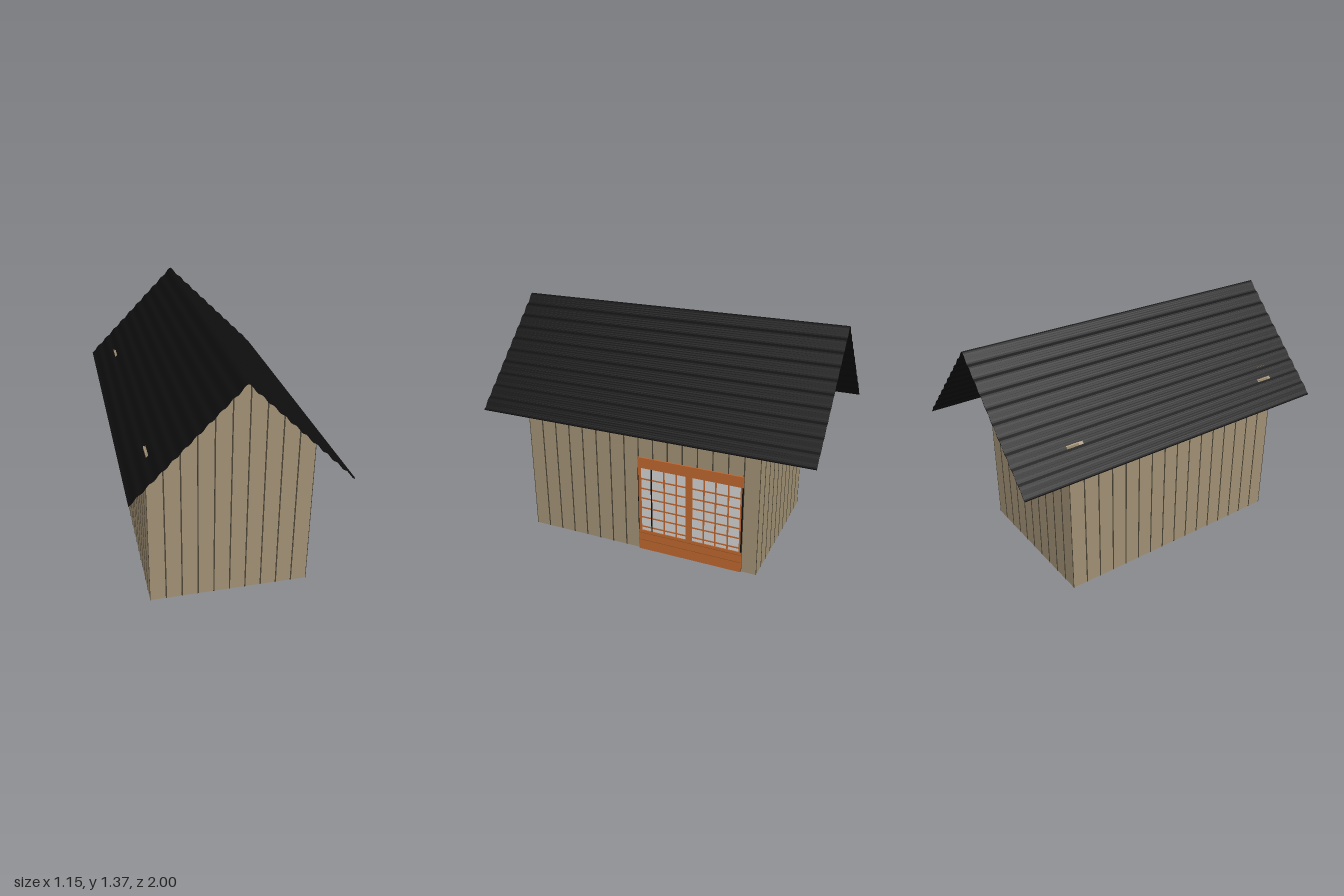
import * as THREE from 'three';

const mat = (name, color) => {
  const m = new THREE.MeshStandardMaterial({ color });
  m.name = name;
  return m;
};

// Wall extents: footprint, eave height and ridge
const X0 = -0.46, X1 = 0.445, Z0 = -0.68, Z1 = 0.775;
const XM = (X0 + X1) / 2, EAVE = 0.905, PEAK = 1.352;
const TX = 0.085, TZ = 0.1;
const gableTop = (x) => PEAK - (PEAK - EAVE) * Math.abs(x - XM) / (X1 - XM);

export function createModel() {
  const wood = mat('weathered wood', 0xa08f73);
  const seam = mat('plank seam', 0x4a4336);
  const black = mat('black roofing', 0x0e0e0e);
  const orange = mat('orange timber', 0xba652e);
  const line = mat('dark orange joint', 0x94501f);
  const paper = mat('window paper', 0xcfcfcf);

  const model = new THREE.Group();
  const group = (name) => {
    const g = new THREE.Group();
    g.name = name;
    model.add(g);
    return g;
  };
  // Box given by its minimum and maximum corners
  const box = (parent, name, m, x0, x1, y0, y1, z0, z1) => {
    const mesh = new THREE.Mesh(new THREE.BoxGeometry(x1 - x0, y1 - y0, z1 - z0), m);
    mesh.position.set((x0 + x1) / 2, (y0 + y1) / 2, (z0 + z1) / 2);
    mesh.name = name;
    parent.add(mesh);
    return mesh;
  };

  // Side walls and gable walls, open underneath
  const walls = group('walls');
  box(walls, 'rightSideWall', wood, X0, X0 + TX, 0, EAVE, Z0 + TZ, Z1 - TZ);
  box(walls, 'leftSideWall', wood, X1 - TX, X1, 0, EAVE, Z0 + TZ, Z1 - TZ);
  const gable = new THREE.Shape([
    [X0, 0], [X1, 0], [X1, EAVE], [XM, PEAK], [X0, EAVE],
  ].map(([x, y]) => new THREE.Vector2(x, y)));
  const gableGeo = new THREE.ExtrudeGeometry(gable, { depth: TZ, bevelEnabled: false });
  for (const [name, z] of [['frontGable', Z1 - TZ], ['backGable', Z0]]) {
    const mesh = new THREE.Mesh(gableGeo, wood);
    mesh.name = name;
    mesh.position.z = z;
    walls.add(mesh);
  }
  // Wall corners just breaking through the roof
  for (const z of [0.68, Z0]) box(walls, 'wallCorner', wood, -0.453, -0.447, 0.9, 0.925, z, z + 0.07);

  // Dark seams between the planks, inside and outside
  const seams = group('plankSeams');
  const W = 0.0035, P = 0.0015;
  for (let i = 0; i <= 10; i++) {
    const x = X0 + (X1 - X0) * i / 10;
    const w = i % 10 ? W : 0.0015;
    const top = gableTop(x) - 0.004;
    for (const z of [Z0, Z1]) box(seams, 'gableSeam', seam, x - w, x + w, 0, top, z - P, z + P);
    if (x > X0 + TX && x < X1 - TX) {
      for (const z of [Z0 + TZ, Z1 - TZ]) box(seams, 'innerGableSeam', seam, x - W, x + W, 0, top, z - P, z + P);
    }
  }
  for (let i = 1; i < 16; i++) {
    const z = Z0 + (Z1 - Z0) * i / 16;
    for (const x of [X0, X1]) box(seams, 'sideSeam', seam, x - P, x + P, 0, EAVE, z - W, z + W);
    if (z > Z0 + TZ && z < Z1 - TZ) {
      for (const x of [X0 + TX, X1 - TX]) box(seams, 'innerSideSeam', seam, x - P, x + P, 0, EAVE, z - W, z + W);
    }
  }

  // Thin rippled roof sheet over both slopes
  const upper = [], lower = [];
  for (let i = -80; i <= 80; i++) {
    const x = 0.575 * i / 80;
    const y = 1.373 - 1.01 * Math.abs(x) + 0.005 * Math.sin(Math.abs(i) / 8 * Math.PI * 2);
    upper.push(new THREE.Vector2(x, y));
    lower.unshift(new THREE.Vector2(x, y - 0.006));
  }
  const roofGeo = new THREE.ExtrudeGeometry(new THREE.Shape([...upper, ...lower]), { depth: 2, bevelEnabled: false });
  const roof = new THREE.Mesh(roofGeo, black);
  roof.name = 'roof';
  roof.position.z = -1;
  model.add(roof);

  // Sliding door: frame, lower panel, end strips
  const door = group('slidingDoor');
  const F = 0.455, DZ0 = -0.59, DZ1 = 0.05;
  box(door, 'topRail', orange, X1, F, 0.54, 0.605, DZ0, DZ1);
  box(door, 'lowerPanel', orange, X1, F, 0, 0.13, DZ0, DZ1);
  for (const y of [0.062, 0.11]) box(door, 'panelJoint', line, F - 0.002, F + 0.0005, y, y + 0.003, DZ0, DZ1);
  for (const [a, b] of [[DZ0 + 0.006, -0.575], [-0.29, -0.25], [0.03, DZ1 - 0.004]]) {
    box(door, 'stile', orange, X1, F, 0.13, 0.54, a, b);
  }
  box(door, 'backEdge', black, X1, F, 0.13, 0.54, DZ0, DZ0 + 0.006);
  box(door, 'frontEdge', black, X1, F, 0.13, 0.54, DZ1 - 0.004, DZ1);

  // Paper panes with their lattice
  for (const [a, b, bars] of [[-0.25, 0.03, [-0.115, -0.19]], [-0.575, -0.29, [-0.36, -0.43, -0.505]]]) {
    box(door, 'pane', paper, X1, 0.449, 0.13, 0.54, a, b);
    for (const z of bars) box(door, 'uprightBar', orange, X1, 0.453, 0.13, 0.54, z - 0.004, z + 0.004);
    for (let k = 0; k < 6; k++) {
      const y = 0.155 + k * 0.063;
      box(door, 'crossBar', orange, X1, 0.4525, y - 0.004, y + 0.004, a, b);
    }
  }
  box(door, 'panelEdge', black, X1, 0.453, 0.13, 0.54, -0.038, -0.031);

  return model;
}
